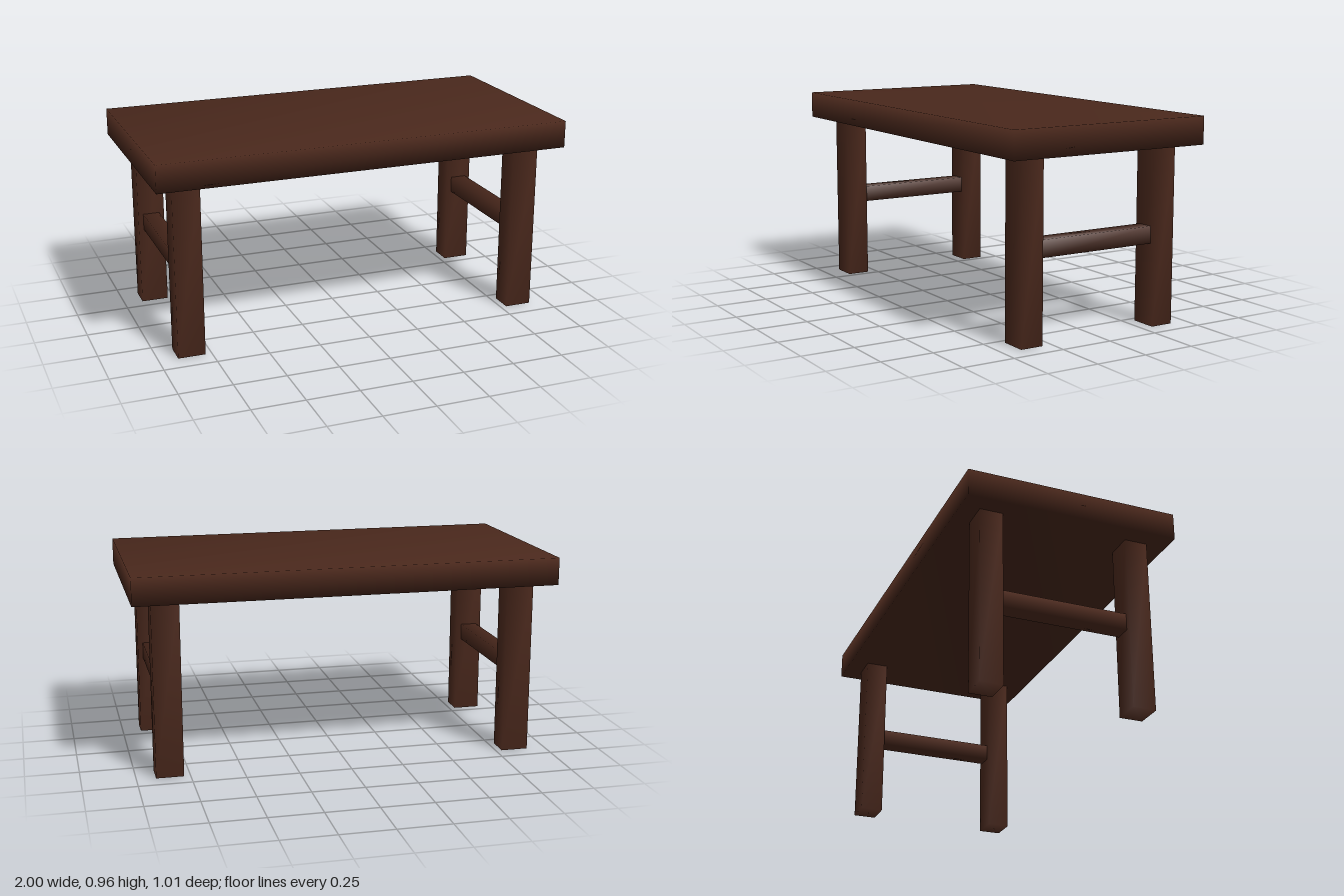
import * as THREE from 'three';
import { mergeVertices } from 'three/addons/utils/BufferGeometryUtils.js';

const wood = new THREE.MeshStandardMaterial({ color: 0x4a281c });

// Box with shared corners, so its shading runs softly around the edges
function softBox(name, [w, h, d], [x, y, z]) {
  let geometry = new THREE.BoxGeometry(w, h, d);
  geometry.deleteAttribute('normal');
  geometry.deleteAttribute('uv');
  geometry = mergeVertices(geometry);
  geometry.computeVertexNormals();
  const mesh = new THREE.Mesh(geometry, wood);
  mesh.name = name;
  mesh.position.set(x, y, z);
  return mesh;
}

export function createModel() {
  const table = new THREE.Group();
  table.name = 'table';

  const legHeight = 0.835, topThickness = 0.13;
  const legX = 0.845, legWidth = 0.13, legDepth = 0.11;
  const frontLegZ = 0.352, backLegZ = -0.361;

  // Table top
  table.add(softBox('tableTop', [2, topThickness, 1.01], [0, legHeight + topThickness / 2, 0]));

  // A pair of legs joined by a stretcher at each end
  for (const [side, sign] of [['left', 1], ['right', -1]]) {
    const x = sign * legX;
    const size = [legWidth, legHeight, legDepth];
    table.add(softBox(side + 'FrontLeg', size, [x, legHeight / 2, frontLegZ]));
    table.add(softBox(side + 'BackLeg', size, [x, legHeight / 2, backLegZ]));

    const length = frontLegZ - backLegZ - legDepth;
    table.add(softBox(side + 'Stretcher', [0.08, 0.08, length], [x, 0.424, (frontLegZ + backLegZ) / 2]));
  }
  return table;
}
